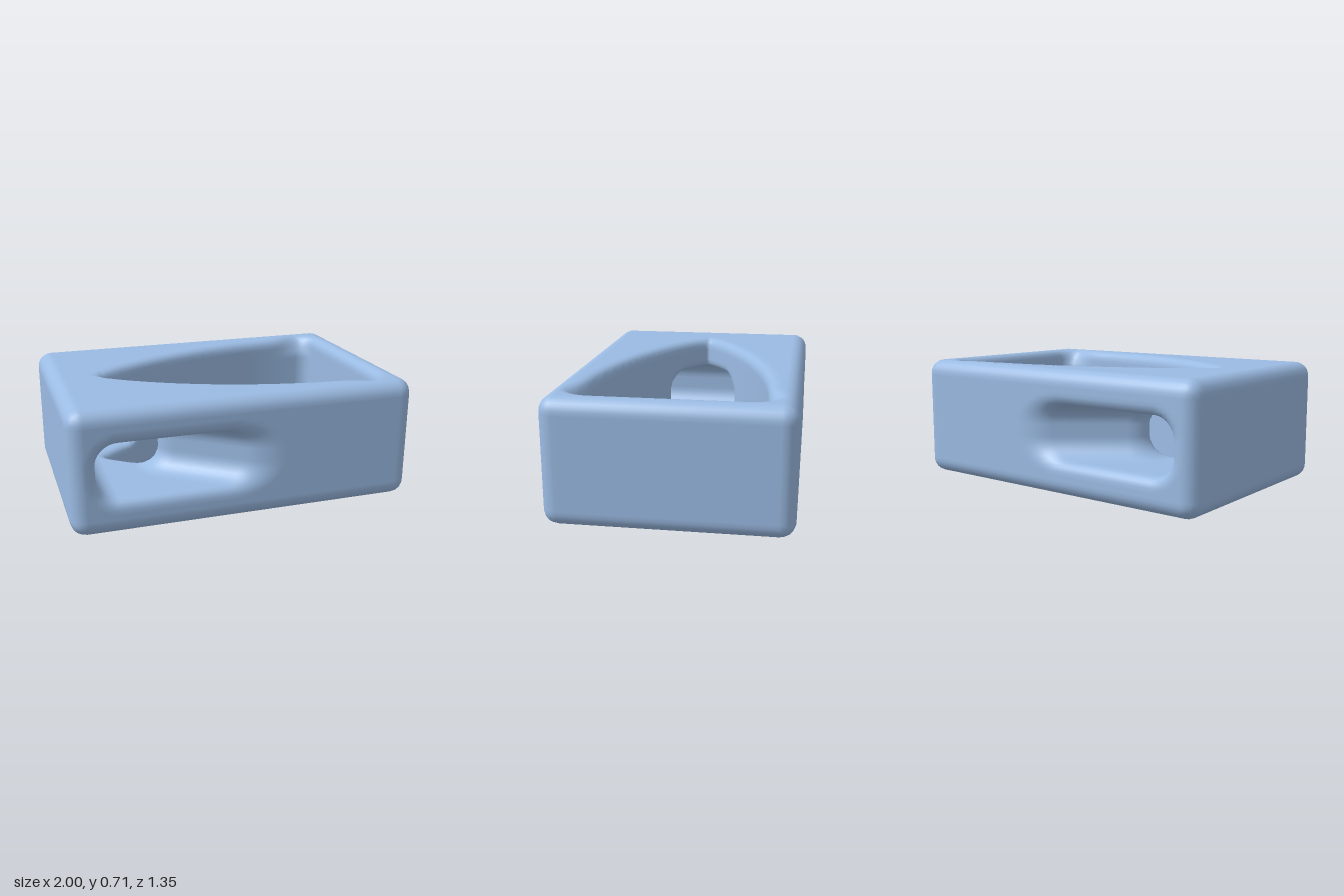
import * as THREE from 'three';

const HALF = [1, 0.357, 0.675];   // block half sizes
const MID_Y = 0.365;              // height of the block's centre
const STEP = 0.025;               // surface grid spacing

// --- blending helpers for distance fields (negative = inside) ---
const smoothMin = (a, b, k) => {
  const h = Math.max(k - Math.abs(a - b), 0) / k;
  return Math.min(a, b) - h * h * k * 0.25;
};
const smoothMax = (a, b, k) => -smoothMin(-a, -b, k);
const roundIntersect = (a, b, r) =>
  Math.min(Math.max(a, b) + r, 0) + Math.hypot(Math.max(a + r, 0), Math.max(b + r, 0)) - r;

// Outer block with rounded edges
function block(x, y, z) {
  const r = 0.085;
  const q = [x, y, z].map((v, i) => Math.abs(v) - HALF[i] + r);
  return Math.hypot(...q.map((v) => Math.max(v, 0))) + Math.min(Math.max(...q), 0) - r;
}

// Half width of the upright opening: a pointed arch running along x
function archWidth(x) {
  const u = Math.max(0, (0.75 - x) / 1.44);
  const s = 1 - u * u;
  return 0.5 * Math.sign(s) * Math.pow(Math.abs(s), 0.85);
}

// Upright opening, flared a little at its two wide corners
function archOpening(x, y, z) {
  const slope = (archWidth(x + 0.01) - archWidth(x - 0.01)) / 0.02;
  const rim = THREE.MathUtils.smoothstep(Math.abs(y), 0.22, 0.36);
  const flare = 0.045 * rim * Math.exp(-(((x - 0.78) / 0.11) ** 2));
  const side = (Math.abs(z) - archWidth(x) - flare) / Math.hypot(1, slope);
  return roundIntersect(side, x - 0.855, 0.09);
}

// Side tunnel: straight at the narrow end, with a slanted scoop at each mouth
function sideTunnel(x, y, z) {
  const scoop = 0.6 * (x - 0.08) - 0.8 * (Math.abs(z) - 0.67);
  const end = smoothMin(x + 0.43, scoop, 0.08);
  const lengthwise = Math.max(-0.855 - x, end);
  return roundIntersect(lengthwise, Math.abs(y) - 0.158, 0.12);
}

function frameField(x, y, z) {
  const hollow = smoothMin(archOpening(x, y, z), sideTunnel(x, y, z), 0.05);
  return smoothMax(block(x, y, z), -hollow, 0.07);
}

// Unit outward direction of the field
function fieldNormal(p) {
  const e = 0.008;
  return new THREE.Vector3(
    frameField(p.x + e, p.y, p.z) - frameField(p.x - e, p.y, p.z),
    frameField(p.x, p.y + e, p.z) - frameField(p.x, p.y - e, p.z),
    frameField(p.x, p.y, p.z + e) - frameField(p.x, p.y, p.z - e)
  ).normalize();
}

// Skin the field: one vertex per crossed cell, one quad per crossed grid edge
function skinField() {
  const n = HALF.map((h) => 2 * Math.ceil(h / STEP + 1.5) + 1);
  const stride = [1, n[0], n[0] * n[1]];
  const total = n[0] * n[1] * n[2];
  const coord = (i) => [i % n[0], Math.floor(i / n[0]) % n[1], Math.floor(i / stride[2])];
  const place = (c) => c.map((v, a) => (v - (n[a] - 1) / 2) * STEP);

  const value = new Float32Array(total);
  for (let i = 0; i < total; i++) value[i] = frameField(...place(coord(i)));

  const vertexOf = new Int32Array(total).fill(-1);
  const positions = [], normals = [], index = [];

  // Cell vertices: average of the crossings, then settled on the surface
  for (let i = 0; i < total; i++) {
    const c = coord(i);
    if (c.some((v, a) => v >= n[a] - 1)) continue;
    const sum = new THREE.Vector3();
    let hits = 0;
    for (let corner = 0; corner < 8; corner++) {
      const bits = [corner & 1, (corner >> 1) & 1, corner >> 2];
      const from = i + bits[0] * stride[0] + bits[1] * stride[1] + bits[2] * stride[2];
      for (let a = 0; a < 3; a++) {
        if (bits[a]) continue;
        const f0 = value[from], f1 = value[from + stride[a]];
        if ((f0 < 0) === (f1 < 0)) continue;
        const hit = bits.map((b, k) => c[k] + b);
        hit[a] += f0 / (f0 - f1);
        sum.add(new THREE.Vector3(...place(hit)));
        hits++;
      }
    }
    if (!hits) continue;
    const p = sum.divideScalar(hits);
    const d = THREE.MathUtils.clamp(frameField(p.x, p.y, p.z), -STEP / 3, STEP / 3);
    p.addScaledVector(fieldNormal(p), -d);
    vertexOf[i] = positions.length / 3;
    positions.push(p.x, p.y, p.z);
    normals.push(...fieldNormal(p).toArray());
  }

  // Quads around each crossed edge, facing outward
  for (let i = 0; i < total; i++) {
    const c = coord(i);
    for (let a = 0; a < 3; a++) {
      const b = (a + 1) % 3, d = (a + 2) % 3;
      if (c[a] >= n[a] - 1 || c[b] < 1 || c[d] < 1) continue;
      const inside = value[i] < 0;
      if (inside === (value[i + stride[a]] < 0)) continue;
      const quad = [i, i - stride[b], i - stride[b] - stride[d], i - stride[d]].map((k) => vertexOf[k]);
      if (!inside) quad.reverse();
      index.push(quad[0], quad[1], quad[2], quad[0], quad[2], quad[3]);
    }
  }

  const geometry = new THREE.BufferGeometry();
  geometry.setAttribute('position', new THREE.Float32BufferAttribute(positions, 3));
  geometry.setAttribute('normal', new THREE.Float32BufferAttribute(normals, 3));
  geometry.setIndex(index);
  return geometry;
}

export function createModel() {
  const steelBlue = new THREE.MeshStandardMaterial({ color: 0x9bbbe3 });
  steelBlue.name = 'steelBlue';

  // Hollowed block, standing on the ground
  const frame = new THREE.Mesh(skinField(), steelBlue);
  frame.name = 'hollowFrame';
  frame.position.y = MID_Y;

  const group = new THREE.Group();
  group.name = 'hollowBlock';
  group.add(frame);
  return group;
}
